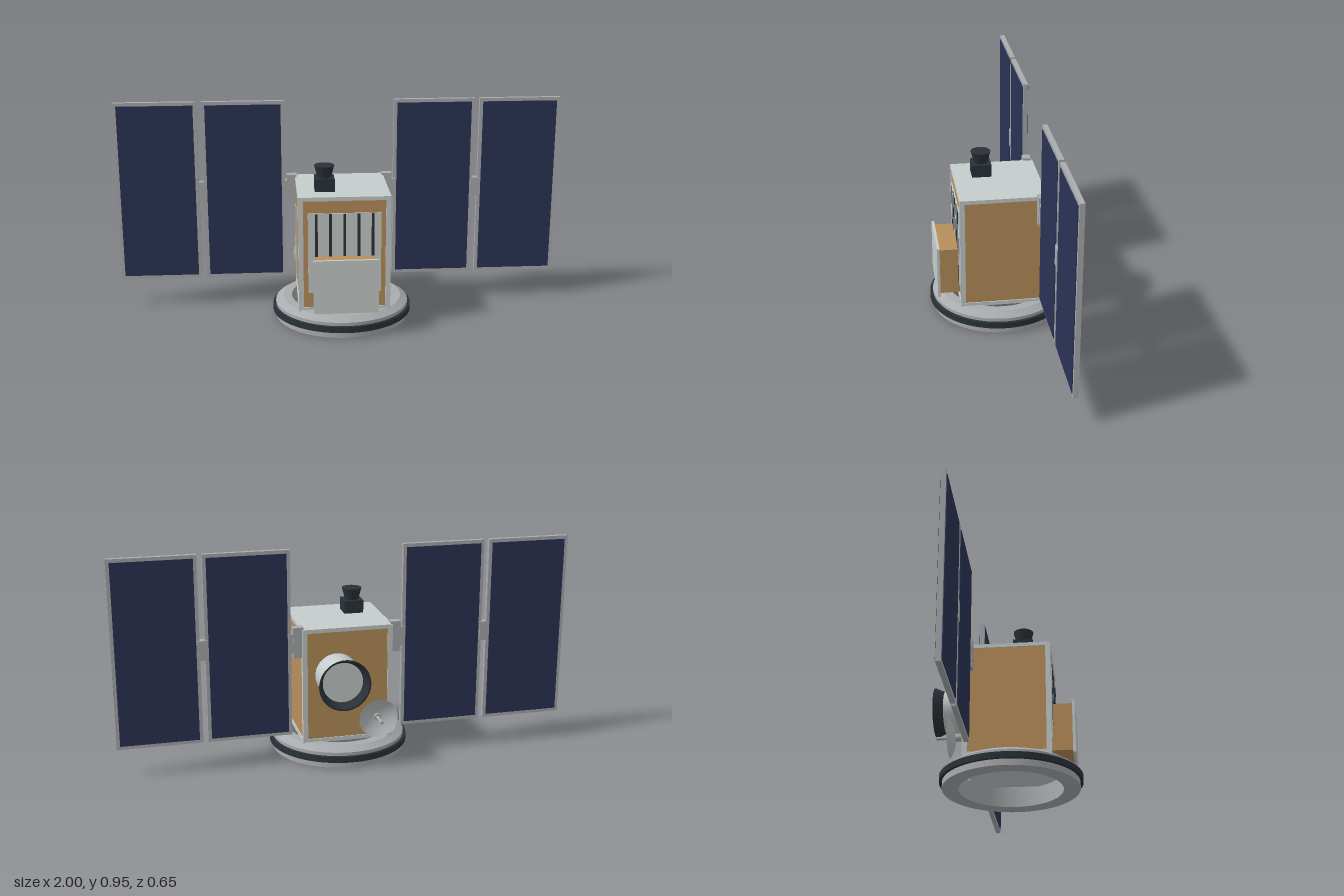
import * as THREE from 'three';
import { toCreasedNormals } from 'three/addons/utils/BufferGeometryUtils.js';

const paint = (name, color, extra = {}) => {
  const m = new THREE.MeshStandardMaterial({ color, ...extra });
  m.name = name;
  return m;
};

export function createModel() {
  const white = paint('whitePaint', 0xc5cdcc);
  const foil = paint('goldFoil', 0xb88f5a);
  const metal = paint('greyMetal', 0xa9abae);
  const dark = paint('darkCoating', 0x293238);
  const navy = paint('solarBlue', 0x2b3355);
  const dishMetal = paint('dishMetal', 0xb9bcbd, { side: THREE.DoubleSide });

  const model = new THREE.Group();
  model.name = 'satellite';

  const add = (name, geometry, material, parent = model) => {
    const mesh = new THREE.Mesh(geometry, material);
    mesh.name = name;
    parent.add(mesh);
    return mesh;
  };
  // Box given by its limits on each axis
  const box = (name, material, [x0, x1], [y0, y1], [z0, z1], parent) => {
    const g = new THREE.BoxGeometry(x1 - x0, y1 - y0, z1 - z0);
    g.translate((x0 + x1) / 2, (y0 + y1) / 2, (z0 + z1) / 2);
    return add(name, g, material, parent);
  };
  // Turned part with crisp edges; points are [radius, height]
  const turned = (points, segments = 48) => toCreasedNormals(
    new THREE.LatheGeometry(points.map(([r, h]) => new THREE.Vector2(r, h)), segments), 0.5);
  // Turned part whose height runs backwards along -z
  const turnedBack = (name, material, points, x, y, segments) =>
    add(name, turned(points, segments).rotateX(-Math.PI / 2), material).position.set(x, y, 0);

  const front = 0.205, back = -0.173, mid = 0.016, half = 0.2;

  // Launch adapter ring
  add('adapterRing', turned([[0.225, 0], [0.297, 0], [0.297, 0.07], [0.265, 0.09], [0.225, 0.09], [0.225, 0]], 64), metal)
    .position.z = mid;
  add('adapterBand', turned([[0.29, 0.028], [0.31, 0.028], [0.31, 0.055], [0.29, 0.055]], 64), dark).position.z = mid;

  // Body: foil core inside a painted frame
  const body = new THREE.Group();
  body.name = 'body';
  model.add(body);
  box('foilCore', foil, [-0.196, 0.196], [0.095, 0.595], [back + 0.004, front - 0.004], body);
  box('topPlate', white, [-half, half], [0.585, 0.602], [back, front], body);
  box('bottomPlate', white, [-half, half], [0.085, 0.103], [back, front], body);
  for (const x of [-half, half - 0.022])
    for (const z of [back, front - 0.022])
      box('cornerPost', white, [x, x + 0.022], [0.103, 0.585], [z, z + 0.022], body);

  // Front radiator with dark gaps between slats
  box('radiator', white, [-0.158, 0.158], [0.17, 0.53], [0.2, 0.206]);
  for (let i = -2; i <= 2; i++)
    box('radiatorGap', dark, [i * 0.061 - 0.006, i * 0.061 + 0.006], [0.175, 0.528], [0.203, 0.208]);

  // Front instrument box
  box('instrumentBox', foil, [-0.128, 0.128], [0.123, 0.337], [0.2, 0.291]);
  box('instrumentCover', white, [-0.14, 0.14], [0.11, 0.35], [0.29, 0.302]);

  // Star tracker on the roof
  box('trackerBase', dark, [-0.123, -0.037], [0.6, 0.659], [0.037, 0.123]);
  add('trackerHood', new THREE.CylinderGeometry(0.044, 0.03, 0.053, 32), dark).position.set(-0.08, 0.6845, 0.08);

  // Telescope on the back, with a flared hood
  turnedBack('telescopeTube', white, [[0.094, 0.165], [0.094, 0.284], [0, 0.284]], 0.05, 0.394);
  turnedBack('telescopeHood', dark,
    [[0.086, 0.282], [0.094, 0.282], [0.113, 0.326], [0.106, 0.326], [0.088, 0.285]], 0.05, 0.394);

  // Dish antenna on the back
  turnedBack('dishMount', metal, [[0.015, 0.165], [0.015, 0.222], [0, 0.222]], -0.122, 0.198, 20);
  const dish = [0, 0.25, 0.5, 0.75, 1].map(t => new THREE.Vector2(0.087 * t, 0.208 + 0.029 * t * t));
  add('dish', new THREE.LatheGeometry(dish, 40).rotateX(-Math.PI / 2), dishMetal).position.set(-0.122, 0.198, 0);
  turnedBack('dishFeed', metal, [[0.007, 0.2], [0.007, 0.293], [0, 0.293]], -0.122, 0.198, 16);

  // Solar wings, one each side
  const pz = -0.147;
  for (const side of [1, -1]) {
    const wing = new THREE.Group();
    wing.name = side > 0 ? 'leftWing' : 'rightWing';
    model.add(wing);
    const part = (name, material, [a, b], y, depth) =>
      box(name, material, side > 0 ? [a, b] : [-b, -a], y, [pz - depth / 2, pz + depth / 2], wing);

    part('wingBracket', metal, [0.193, 0.238], [0.477, 0.612], 0.036);
    part('wingRootHinge', metal, [0.236, 0.256], [0.5, 0.585], 0.032);
    part('panelHinge', metal, [0.602, 0.642], [0.497, 0.583], 0.032);
    for (const [a, b] of [[0.246, 0.612], [0.634, 1]]) {
      const w = 0.015;
      part('panelFrame', metal, [a, a + w], [0.128, 0.95], 0.021);
      part('panelFrame', metal, [b - w, b], [0.128, 0.95], 0.021);
      part('panelFrame', metal, [a + w, b - w], [0.128, 0.143], 0.021);
      part('panelFrame', metal, [a + w, b - w], [0.935, 0.95], 0.021);
      part('solarCells', navy, [a + w, b - w], [0.143, 0.935], 0.028);
    }
  }
  return model;
}
